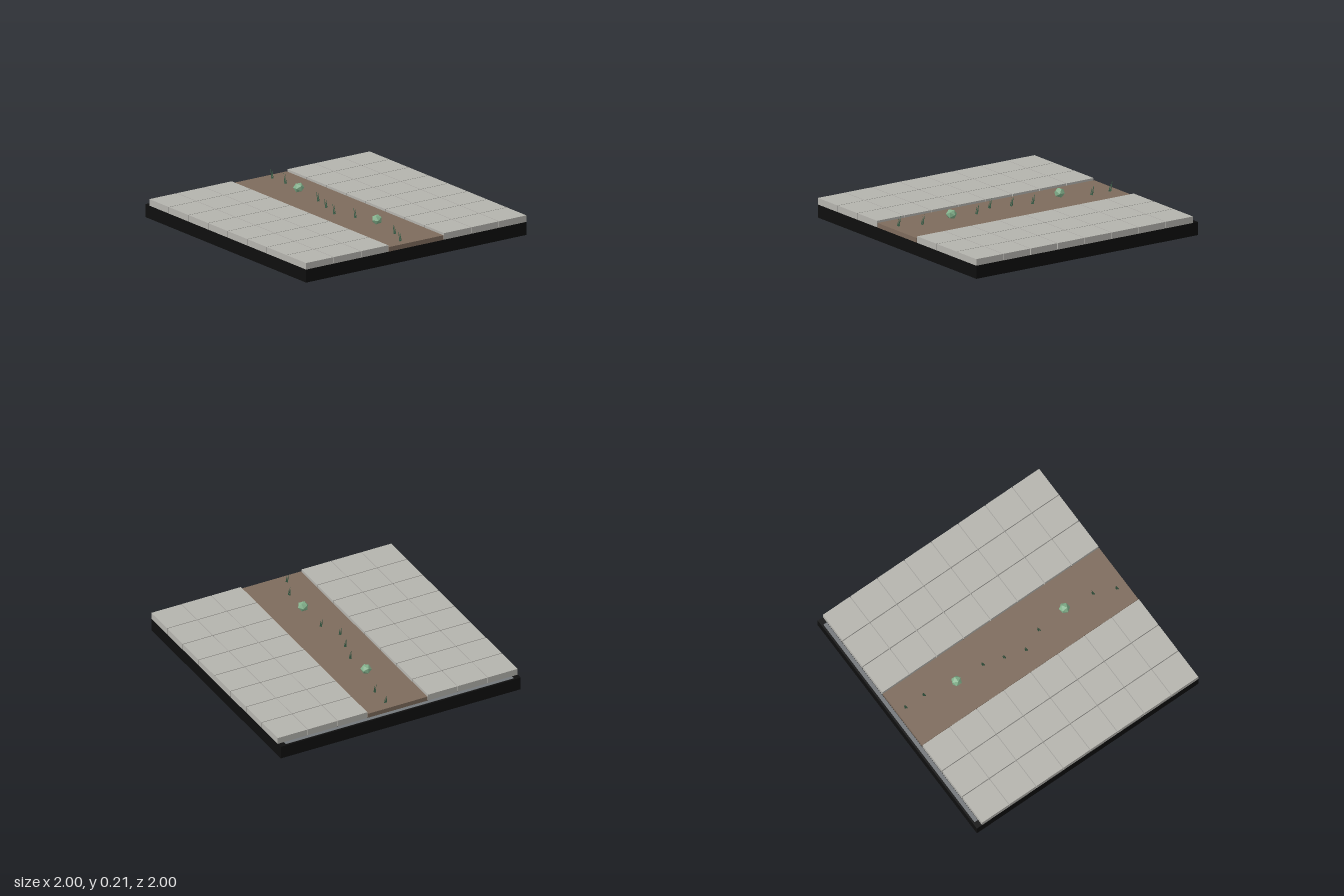
import * as THREE from 'three';

const mat = (name, color, flatShading = false) => {
  const m = new THREE.MeshStandardMaterial({ color });
  m.name = name;
  m.flatShading = flatShading;
  return m;
};

export function createModel() {
  const black = mat('black base', 0x0e0e0e);
  const grey = mat('bedding grey', 0x74787b);
  const stone = mat('paving stone', 0xb4b3ad);
  const soil = mat('soil brown', 0x7d6b5c);
  const leaf = mat('leaf green', 0x83b18c, true);
  const grass = mat('grass green', 0x3c6049, true);

  const model = new THREE.Group();
  model.name = 'pavedGardenPath';

  // Box given by its extents
  const box = (name, material, x0, x1, y0, y1, z0, z1, parent = model) => {
    const mesh = new THREE.Mesh(new THREE.BoxGeometry(x1 - x0, y1 - y0, z1 - z0), material);
    mesh.position.set((x0 + x1) / 2, (y0 + y1) / 2, (z0 + z1) / 2);
    mesh.name = name;
    parent.add(mesh);
    return mesh;
  };

  // Base slab, exposed bedding strip at the back, soil bed
  box('base', black, -1, 1, 0, 0.1, -1, 1);
  box('beddingStrip', grey, -0.95, 0.95, 0.095, 0.102, -0.985, -0.955);
  box('soilBed', soil, -0.247, 0.247, 0.1, 0.135, -0.953, 1);

  // Paving: three columns of eight tiles on either side
  const paving = new THREE.Group();
  paving.name = 'paving';
  model.add(paving);
  const rows = 8, back = -0.953, pitch = (1 - back) / rows, gap = 0.003;
  for (const side of [-1, 1]) {
    for (let c = 0; c < 3; c++) {
      const x = side * (0.375 + c * 0.25);
      for (let r = 0; r < rows; r++) {
        const z = back + r * pitch;
        const outer = c === 2 ? side * gap : 0;
        box('tile', stone,
          x - 0.125 + gap + Math.min(outer, 0), x + 0.125 - gap + Math.max(outer, 0),
          0.1, 0.15,
          z + (r ? gap : 0), z + pitch - (r < rows - 1 ? gap : 0), paving);
      }
    }
  }

  // Faceted bushes
  [[-0.465, 0], [0.51, 0.6]].forEach(([z, turn]) => {
    const bush = new THREE.Mesh(new THREE.IcosahedronGeometry(0.042, 0), leaf);
    bush.name = 'bush';
    bush.scale.y = 0.92;
    bush.rotation.y = turn;
    bush.position.set(0, 0.179, z);
    model.add(bush);
  });

  // Grass tufts: three slim blades leaning towards the back
  const blade = new THREE.ConeGeometry(0.006, 0.075, 4);
  blade.translate(0, 0.0375, 0);
  const blades = [[-0.006, 0.004, 0.85], [0.006, 0.002, 0.95], [0, -0.006, 1.1]];
  const tufts = [
    [0.06, -0.885], [0.06, -0.72], [0, -0.23], [-0.045, -0.07],
    [-0.09, 0.095], [-0.02, 0.26], [-0.02, 0.75], [-0.09, 0.915],
  ];
  for (const [x, z] of tufts) {
    const tuft = new THREE.Group();
    tuft.name = 'grassTuft';
    tuft.position.set(x, 0.134, z + 0.008);
    for (const [bx, bz, s] of blades) {
      const b = new THREE.Mesh(blade, grass);
      b.name = 'grassBlade';
      b.position.set(bx, 0, bz);
      b.scale.y = s;
      b.rotation.x = -0.2;
      tuft.add(b);
    }
    model.add(tuft);
  }

  return model;
}
